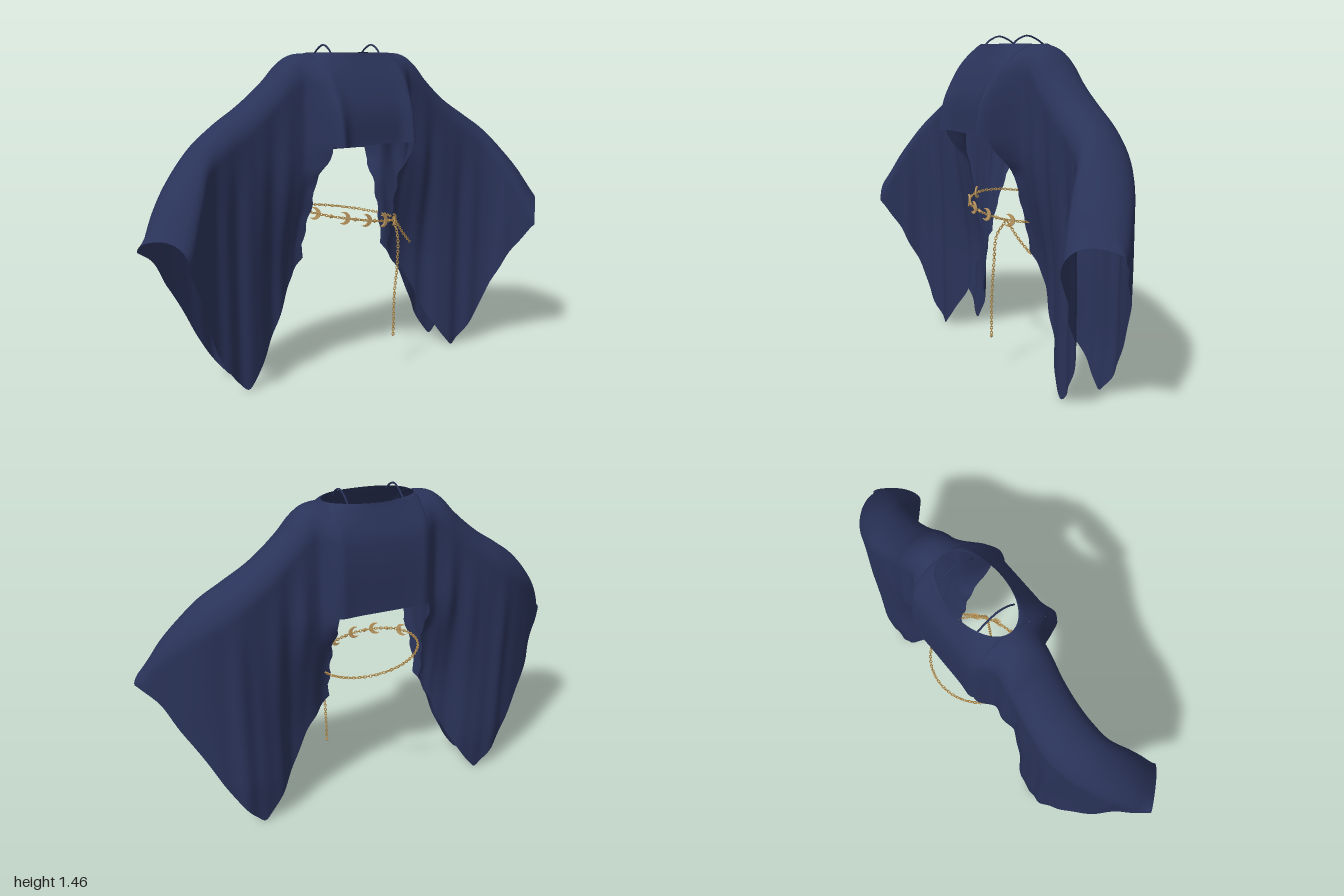
import * as THREE from 'three';
import { mergeVertices, mergeGeometries } from 'three/addons/utils/BufferGeometryUtils.js';

const { smoothstep, lerp } = THREE.MathUtils;
const SLEEVE_END = 0.925;

// Smooth curve through a few [x, y] points, clamped at both ends
function curveOf(points) {
  const c = new THREE.CubicInterpolant(points.map(p => p[0]), points.map(p => p[1]), 1, new Float32Array(1));
  return x => c.evaluate(x)[0];
}

// Arm ridge: height and depth along the sleeve
const ridgeY = curveOf([[0, 1.425], [0.2, 1.425], [0.28, 1.415], [0.33, 1.38], [0.38, 1.325], [0.5, 1.22],
  [0.62, 1.14], [0.72, 1.065], [0.8, 0.97], [0.86, 0.875], [0.9, 0.79], [0.925, 0.735]]);
const ridgeZ = curveOf([[0.2, -0.052], [0.35, -0.062], [0.6, -0.06], [0.7, -0.03], [0.8, 0.045], [0.87, 0.115], [0.925, 0.175]]);
// Pointed sleeve hem, by distance from the middle
const hemY = curveOf([[0.2, 0.54], [0.25, 0.46], [0.3, 0.4], [0.37, 0.26], [0.45, 0.12], [0.51, 0.035], [0.54, 0.005],
  [0.575, 0.035], [0.64, 0.12], [0.7, 0.22], [0.76, 0.34], [0.82, 0.45], [0.88, 0.54], [0.925, 0.62], [1.0, 0.685]]);
// Chest and back depth by height
const chestZ = curveOf([[1.05, 0.2], [1.2, 0.185], [1.36, 0.11], [1.43, 0.067]]);
const backZ = curveOf([[0.98, -0.235], [1.28, -0.225], [1.36, -0.2], [1.43, -0.17]]);
const bump = (x, centre, width) => Math.exp(-(((x - centre) / width) ** 2));

// Point on the cloth: u across, t from top to hem, face +1 front or -1 back
function clothPoint(u, t, face, isBody) {
  const a = Math.abs(u), s = Math.sign(u);
  const turn = 0.72 * smoothstep(a, 0.64, SLEEVE_END);
  const top = ridgeY(a);
  const bodyHem = face > 0 ? 1.05 : 0.98;
  const sleeveHem = face > 0 ? hemY(a) : hemY(a + 0.115 * Math.sin(turn));
  const hem = isBody ? bodyHem : sleeveHem;
  const y = top - (top - hem) * t ** 1.8;
  const drop = top - y;

  // Sleeve thickness, pinched together low on the inner edge and narrowing at the back tip
  const pinch = lerp(0.15, 0.92, smoothstep(a, 0.27, 0.55));
  let off = face * (0.111 + 0.008 * smoothstep(a, 0.4, 0.6)) * lerp(1, pinch, smoothstep(1 - y, 0, 0.6));
  if (face < 0) off *= 1 - 0.18 * smoothstep(0.25 - y, 0, 0.25);
  // Blend into the torso near the middle
  const w = (1 - smoothstep(a, 0.17, 0.27)) * smoothstep(y, bodyHem - 0.18, bodyHem);
  off = lerp(off, (face > 0 ? chestZ(y) : backZ(y)) - ridgeZ(a), w);
  // Hanging folds
  const hang = smoothstep(drop, 0.03, 0.45);
  off += hang * 0.007 * (Math.sin(a * 40 + face) + 0.4 * Math.sin(a * 71 + 1.5 * face)) * smoothstep(a, 0.05, 0.25);
  off += hang * (face > 0 ? 0.03 * bump(a, 0.17, 0.035) : -0.025 * bump(a, 0.22, 0.03) - 0.018 * bump(a, 0.33, 0.035)) * smoothstep(y, 0.7, 1.0);

  // Rounded top, starting from the neck opening or the arm ridge
  const start = face * 0.117 * Math.sqrt(Math.max(0, 1 - (a / 0.2) ** 2));
  const k = Math.min(1, drop / Math.min(0.12, 0.9 * (top - hem)));
  off = lerp(start, off, Math.sqrt(1 - (1 - k) ** 2));

  // Wavy inner edge, hanging a little wider on the right sleeve
  const below = isBody ? 0 : smoothstep(1 - y, 0, 0.1);
  const wave = below * (0.006 * Math.sin(y * 55) * bump(a, 0.2, 0.03)
    + (s < 0 ? 0.02 + 0.03 * smoothstep(0.85 - y, 0, 0.25) : 0) * bump(a, 0.2, 0.09));
  return [s * (a + wave - off * Math.sin(turn)), y, ridgeZ(a) + off * Math.cos(turn)];
}

// Front and back sheets welded along the shoulder ridge
function cloth(u0, u1, columns, isBody) {
  const rows = 48, pos = [], index = [];
  for (const face of [1, -1]) {
    const base = pos.length / 3;
    for (let i = 0; i <= columns; i++) {
      // Columns crowd towards the corners of the neck opening
      const u = isBody ? u1 * Math.sin((i / columns - 0.5) * Math.PI) : lerp(u0, u1, i / columns);
      for (let j = 0; j <= rows; j++) pos.push(...clothPoint(u, j / rows, face, isBody));
    }
    for (let i = 0; i < columns; i++) {
      for (let j = 0; j < rows; j++) {
        const a = base + i * (rows + 1) + j, b = a + rows + 1;
        if (face > 0) index.push(a, a + 1, b, b, a + 1, b + 1);
        else index.push(a, b, a + 1, b, b + 1, a + 1);
      }
    }
  }
  let g = new THREE.BufferGeometry();
  g.setAttribute('position', new THREE.Float32BufferAttribute(pos, 3));
  g.setIndex(index);
  g = mergeVertices(g, 1e-5);
  g.computeVertexNormals();
  return g;
}

// Row of small interlocking links along a curve
function chain(curve, spacing = 0.012) {
  const n = Math.round(curve.getLength() / spacing), links = [];
  const xAxis = new THREE.Vector3(1, 0, 0);
  for (let i = 0; i <= n; i++) {
    const g = new THREE.TorusGeometry(0.0055, 0.0019, 5, 8);
    g.scale(1.4, 1, 1);
    g.rotateX((i % 2) * Math.PI / 2 + 0.4);
    g.applyQuaternion(new THREE.Quaternion().setFromUnitVectors(xAxis, curve.getTangentAt(i / n)));
    const p = curve.getPointAt(i / n);
    g.translate(p.x, p.y, p.z);
    links.push(g);
  }
  return mergeGeometries(links);
}

export function createModel() {
  const group = new THREE.Group();
  const fabric = new THREE.MeshStandardMaterial({ color: 0x2a3359, side: THREE.DoubleSide });
  fabric.name = 'navy fabric';
  const chainGold = new THREE.MeshStandardMaterial({ color: 0xb58e4c });
  chainGold.name = 'chain gold';
  const charmGold = new THREE.MeshStandardMaterial({ color: 0xbf9a62 });
  charmGold.name = 'charm gold';
  const add = (name, geometry, material) => {
    const m = new THREE.Mesh(geometry, material);
    m.name = name;
    group.add(m);
    return m;
  };
  const path = pts => new THREE.CatmullRomCurve3(pts.map(p => new THREE.Vector3(...p)));

  // Cropped body and the two draped sleeves
  add('body', cloth(-0.2, 0.2, 48, true), fabric);
  add('leftSleeve', cloth(0.2, SLEEVE_END, 72, false), fabric);
  add('rightSleeve', cloth(-SLEEVE_END, -0.2, 72, false), fabric);

  // Hanger loops over the neck opening
  for (const s of [1, -1]) {
    const loop = path([[s * 0.12, 1.415, 0.03], [s * 0.12, 1.44, 0.005], [s * 0.12, 1.46, -0.045],
      [s * 0.12, 1.445, -0.095], [s * 0.12, 1.415, -0.14]]);
    add(s > 0 ? 'leftHangerLoop' : 'rightHangerLoop', new THREE.TubeGeometry(loop, 20, 0.004, 6), fabric);
  }

  // Slanted belt around the waist
  const beltPoint = a => [0.225 * Math.sin(a), 0.711 - 0.036 * Math.sin(a), -0.06 + 0.2 * Math.cos(a)];
  const ring = Array.from({ length: 24 }, (_, i) => new THREE.Vector3(...beltPoint(i / 24 * Math.PI * 2)));
  add('beltChain', chain(new THREE.CatmullRomCurve3(ring, true)), chainGold);
  add('hangingChain', chain(path([[0.165, 0.68, 0.085], [0.16, 0.62, 0.125], [0.153, 0.5, 0.135],
    [0.138, 0.36, 0.137], [0.133, 0.165, 0.137]])), chainGold);
  add('sideChain', chain(path([[0.18, 0.675, 0.08], [0.23, 0.615, 0.06], [0.285, 0.56, 0.035]])), chainGold);
  add('chainEndBead', new THREE.SphereGeometry(0.007, 10, 8).translate(0.133, 0.163, 0.137), charmGold);

  // Crescent and star charms along the front
  const moon = new THREE.Shape();
  moon.absarc(0, 0, 0.028, -2.2, 2.2, false);
  moon.absarc(-0.013, 0, 0.0229, 1.715, -1.715, true);
  const moonGeometry = new THREE.ExtrudeGeometry(moon, { depth: 0.006, bevelEnabled: false, curveSegments: 14 });
  const starGeometry = new THREE.OctahedronGeometry(0.011).scale(1, 1, 0.6);
  for (let i = 0; i < 9; i++) {
    const angle = Math.asin((-0.205 + i * 0.047) / 0.225);
    const isMoon = i % 2 === 0;
    const charm = add(isMoon ? 'moonCharm' : 'starCharm', isMoon ? moonGeometry : starGeometry, charmGold);
    charm.position.set(...beltPoint(angle));
    charm.rotation.set(0, angle * 0.7, -0.16);
  }
  return group;
}
